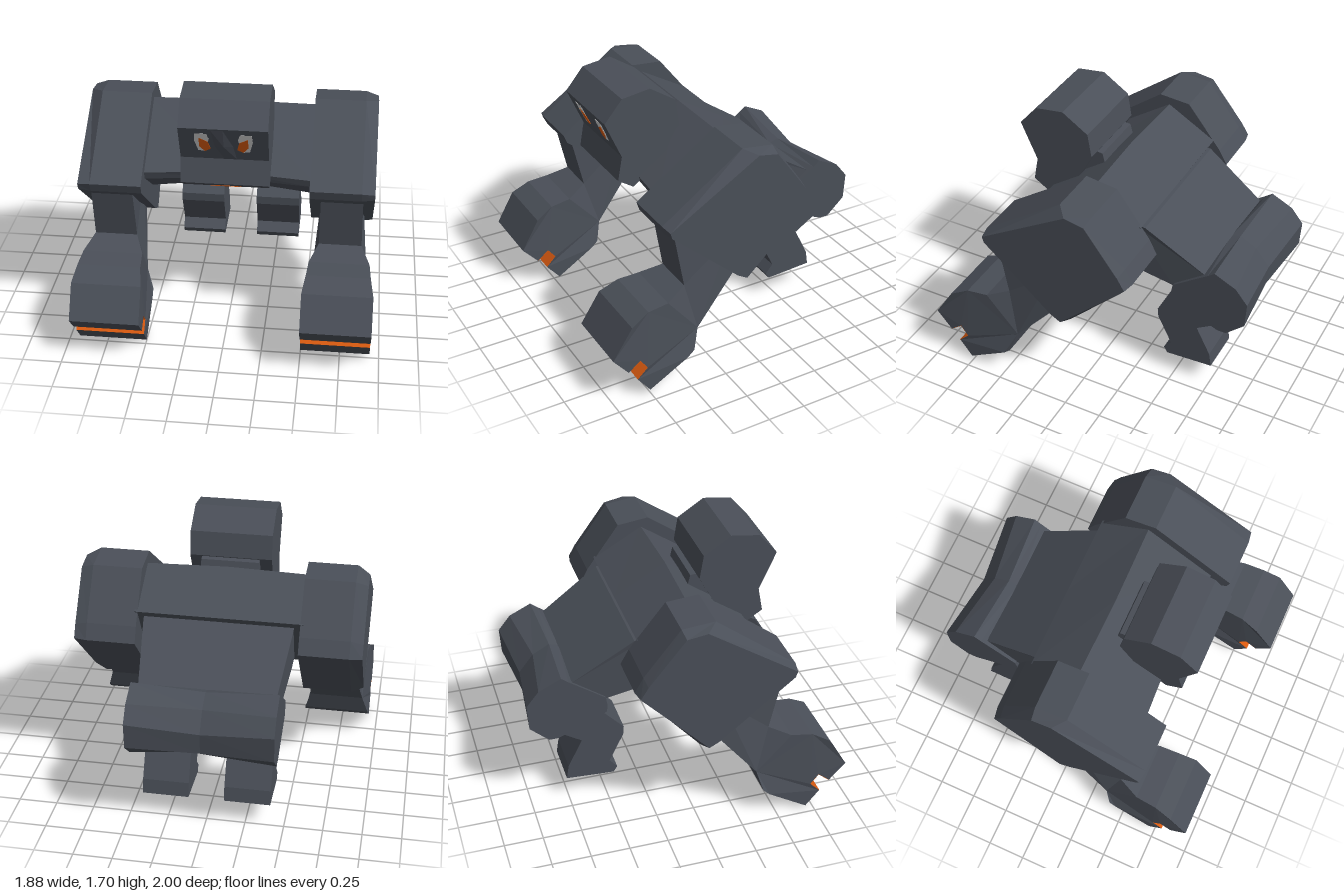
import * as THREE from 'three';

const hide = new THREE.MeshStandardMaterial({ color: 0x4a4f58 });
hide.name = 'slate grey';
const orange = new THREE.MeshStandardMaterial({ color: 0xd85a10 });
orange.name = 'orange';
const pale = new THREE.MeshStandardMaterial({ color: 0xd2d2d2 });
pale.name = 'pale grey';

// Joins side outlines ({ x, pts: [z, y, inset] }) across x into a closed, flat-faced solid
function loft(sections) {
  if (sections[0].x > sections[sections.length - 1].x) sections = [...sections].reverse();
  const flat = (s) => s.pts.map((p) => new THREE.Vector2(p[0], p[1]));
  const flip = THREE.ShapeUtils.isClockWise(flat(sections[0]));
  const secs = sections.map((s) => ({ x: s.x, side: s.side || 0, pts: flip ? [...s.pts].reverse() : s.pts }));
  const rings = secs.map((s) => s.pts.map(([z, y, inset = 0]) => [s.x + s.side * inset, y, z]));
  const out = [];
  const tri = (a, b, c) => out.push(...a, ...b, ...c);
  for (let k = 0; k + 1 < rings.length; k++) {
    const A = rings[k], B = rings[k + 1], n = A.length;
    for (let i = 0; i < n; i++) {
      const j = (i + 1) % n;
      tri(A[i], B[i], A[j]);
      tri(A[j], B[i], B[j]);
    }
  }
  const first = rings[0], last = rings[rings.length - 1];
  for (const [a, b, c] of THREE.ShapeUtils.triangulateShape(flat(secs[0]), [])) tri(first[a], first[b], first[c]);
  for (const [a, b, c] of THREE.ShapeUtils.triangulateShape(flat(secs[secs.length - 1]), [])) tri(last[a], last[c], last[b]);
  const g = new THREE.BufferGeometry();
  g.setAttribute('position', new THREE.Float32BufferAttribute(out, 3));
  g.computeVertexNormals();
  return g;
}

// One outline pushed from x0 to x1; each point may be drawn in from both sides
const prism = (pts, x0, x1) => loft([{ x: x0, side: 1, pts }, { x: x1, side: -1, pts }]);

function add(parent, name, geometry, material) {
  const m = new THREE.Mesh(geometry, material);
  m.name = name;
  parent.add(m);
  return m;
}

// Thin plate lying on the sloping face, from [x, y] corners
const faceZ = (y) => 0.575 + (y - 1.29) * 0.44;
function facePlate(corners, lift, s) {
  const shape = new THREE.Shape(corners.map(([x, y]) => new THREE.Vector2(x * s, y)));
  const g = new THREE.ExtrudeGeometry(shape, { depth: 0.004, bevelEnabled: false });
  const p = g.attributes.position;
  for (let i = 0; i < p.count; i++) p.setZ(i, p.getZ(i) + faceZ(p.getY(i)) + lift);
  g.computeVertexNormals();
  return g;
}

function makeArm(s) {
  const arm = new THREE.Group();
  arm.name = s > 0 ? 'leftArm' : 'rightArm';
  // Shoulder block with a bevelled outer side
  const full = [[0.07, 1.483], [-0.14, 1.455], [-0.36, 1.15], [-0.41, 1.05], [0.03, 0.59], [0.13, 0.65], [0.59, 1.05], [0.61, 1.11]];
  const outer = [[0.0, 1.455], [-0.13, 1.43], [-0.35, 1.13], [-0.395, 1.05], [0.06, 0.615], [0.128, 0.655], [0.585, 1.06], [0.597, 1.1]];
  add(arm, 'shoulder', loft([{ x: 0.52 * s, pts: full }, { x: 0.84 * s, pts: full }, { x: 0.92 * s, pts: outer }]), hide);
  // Forearm flaring into a notched fist
  const x0 = s > 0 ? 0.5 : -0.94, x1 = s > 0 ? 0.94 : -0.5;
  add(arm, 'forearmAndFist', prism([
    [0.54, 1.05, 0.09], [0.47, 0.66, 0.085], [0.61, 0.61, 0.03], [0.75, 0.6, 0.02], [0.87, 0.54], [1.0, 0.34],
    [0.9, 0.22], [0.82, 0.28], [0.77, 0.21], [0.84, 0.145], [0.755, 0.033], [0.49, 0.18], [0.445, 0.22], [0.4, 0.35, 0.04],
    [0.12, 0.655, 0.08], [0.15, 0.9, 0.09]], x0, x1), hide);
  // Glowing lining of the notch
  add(arm, 'fistNotch', prism([
    [0.9, 0.22], [0.82, 0.28], [0.77, 0.21], [0.84, 0.145],
    [0.841, 0.1465], [0.7728, 0.2103], [0.8203, 0.277], [0.899, 0.2185]], x0, x1), orange);
  return arm;
}

export function createModel() {
  const model = new THREE.Group();
  model.name = 'hulkingBeast';

  // Chest, slightly shifted along its middle
  const chest = [[0.02, 1.42], [0.475, 1.11], [0.46, 1.06], [0.18, 0.86], [-0.1, 0.86], [-0.31, 1.23]];
  const chestMid = [[0.03, 1.43], [0.45, 1.135], [0.43, 1.08], [0.17, 0.92], [-0.1, 0.88], [-0.31, 1.23]];
  add(model, 'chest', loft([{ x: -0.54, pts: chest }, { x: 0, pts: chestMid }, { x: 0.54, pts: chest }]), hide);

  // Waist narrowing towards the hips
  add(model, 'waist', prism([
    [-0.22, 1.2], [-0.31, 1.19], [-0.72, 0.915, 0.05], [-0.7, 0.75, 0.05], [-0.49, 0.77, 0.04], [-0.19, 0.84, 0.02], [0.0, 0.95]], -0.48, 0.48), hide);

  // Hips, dipping in the middle
  const hip = [[-0.73, 0.955], [-0.775, 0.99], [-0.92, 0.92], [-1.0, 0.82], [-0.99, 0.65], [-0.87, 0.54], [-0.81, 0.54], [-0.49, 0.68], [-0.485, 0.73], [-0.495, 0.79]];
  const hipMid = [[-0.685, 0.93], [-0.75, 0.95], [-0.86, 0.89], [-0.955, 0.77], [-0.945, 0.63], [-0.83, 0.57], [-0.77, 0.57], [-0.5, 0.63], [-0.49, 0.67], [-0.5, 0.73]];
  add(model, 'hips', loft([{ x: -0.46, pts: hip }, { x: 0, pts: hipMid }, { x: 0.46, pts: hip }]), hide);

  for (const s of [1, -1]) {
    const side = s > 0 ? 'left' : 'right';
    // Hind leg
    add(model, side + 'Leg', prism([
      [-0.51, 0.65], [-0.37, 0.5], [-0.375, 0.44], [-0.47, 0.245], [-0.42, 0.185], [-0.445, 0.145],
      [-0.76, 0.163], [-0.745, 0.26], [-0.65, 0.45], [-0.81, 0.55], [-0.8, 0.65]],
    s > 0 ? 0.115 : -0.412, s > 0 ? 0.412 : -0.115), hide);

    // Arm, the right one swung slightly back
    const arm = makeArm(s);
    if (s < 0) {
      const pivot = new THREE.Group();
      pivot.name = 'rightArmPivot';
      pivot.position.y = 1.1;
      pivot.rotation.x = 0.044;
      arm.position.y = -1.1;
      pivot.add(arm);
      model.add(pivot);
    } else model.add(arm);
  }

  // Head and neck
  const head = new THREE.Group();
  head.name = 'head';
  model.add(head);
  add(head, 'skull', prism([
    [0.685, 1.54], [0.565, 1.68], [0.375, 1.705], [0.2, 1.59], [0.175, 1.43], [0.3, 1.2],
    [0.5, 1.06], [0.605, 1.13], [0.575, 1.29]], -0.27, 0.27), hide);
  add(head, 'neck', prism([[0.14, 1.42], [0.4, 1.45], [0.45, 1.15], [0.1, 1.25]], -0.19, 0.19), hide);

  // Low nose ridge, fading out at the brow and muzzle
  const nose = (d) => [[faceZ(1.53), 1.53], [faceZ(1.4) + d, 1.4], [faceZ(1.29), 1.29], [faceZ(1.4) - 0.03, 1.41]];
  add(head, 'nose', loft([{ x: -0.075, pts: nose(-0.004) }, { x: 0, pts: nose(0.012) }, { x: 0.075, pts: nose(-0.004) }]), hide);

  // Eyes
  for (const s of [1, -1]) {
    const side = s > 0 ? 'left' : 'right';
    add(head, side + 'Eye', facePlate([[0.095, 1.42], [0.088, 1.46], [0.102, 1.5], [0.172, 1.5], [0.176, 1.44], [0.157, 1.36], [0.118, 1.353]], -0.002, s), pale);
    add(head, side + 'Pupil', facePlate([[0.08, 1.375], [0.095, 1.435], [0.147, 1.465], [0.15, 1.395], [0.117, 1.354]], 0, s), orange);
  }

  // Mouth under the chin
  const mouth = new THREE.CylinderGeometry(0.1, 0.1, 0.006, 10);
  mouth.scale(1, 1, 0.15);
  const lips = add(head, 'mouth', mouth, orange);
  lips.position.set(0, 1.071, 0.516);
  lips.rotation.x = -0.59;
  return model;
}
